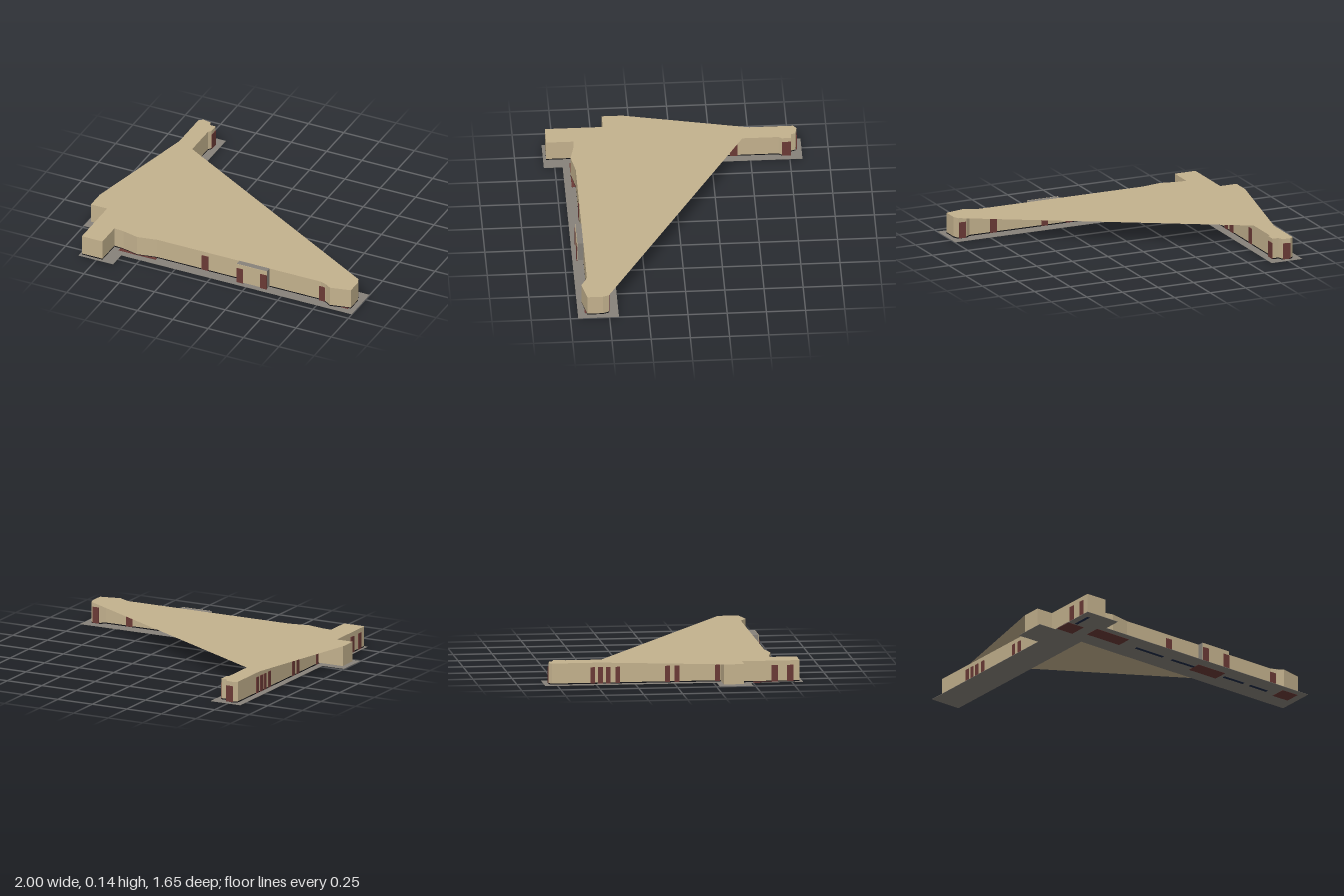
import * as THREE from 'three';

const material = (name, color, side = THREE.FrontSide) => {
  const m = new THREE.MeshStandardMaterial({ color, side });
  m.name = name;
  return m;
};

export function createModel() {
  const group = new THREE.Group();
  const sand = material('sand', 0xc4b28e);
  const sandSheet = sand;
  sandSheet.side = THREE.DoubleSide;
  const paving = material('paving grey', 0x87827a);
  const red = material('door red', 0x6b3a36);
  const navy = material('window navy', 0x1e2a45);
  const black = material('plinth black', 0x121216);

  const add = (name, geometry, mat) => {
    const mesh = new THREE.Mesh(geometry, mat);
    mesh.name = name;
    group.add(mesh);
    return mesh;
  };
  // Plan outlines are [x, z] points
  const plan = (pts) => new THREE.Shape(pts.map(([x, z]) => new THREE.Vector2(x, -z)));
  const slab = (name, pts, y0, y1, mat) => {
    const g = new THREE.ExtrudeGeometry(plan(pts), { depth: y1 - y0, bevelEnabled: false });
    add(name, g.rotateX(-Math.PI / 2).translate(0, y0, 0), mat);
  };
  const box = (name, x0, x1, y0, y1, z0, z1, mat) => add(name,
    new THREE.BoxGeometry(x1 - x0, y1 - y0, z1 - z0)
      .translate((x0 + x1) / 2, (y0 + y1) / 2, (z0 + z1) / 2), mat);

  // Ground paving
  slab('paving', [
    [-0.845, -0.83], [-0.63, -0.83], [-0.63, 0.44], [1, 0.44], [1, 0.7], [-0.63, 0.7],
    [-0.63, 0.82], [-0.875, 0.82], [-0.875, 0.485], [-1, 0.485], [-1, 0.27], [-0.845, 0.27],
  ], 0.001, 0.003, paving);

  // Outline stretches shared by walls and roof
  const northEnd = [
    [-0.8, -0.5], [-0.8, -0.78], [-0.775, -0.8], [-0.72, -0.79], [-0.71, -0.76],
    [-0.67, -0.76], [-0.67, -0.7], [-0.685, -0.68], [-0.685, -0.45],
  ];
  const eastTip = [[0.95, 0.5], [0.965, 0.54], [0.965, 0.64], [0.83, 0.67], [0.79, 0.645], [0.75, 0.63]];
  const southFront = [
    [-0.41, 0.63], [-0.54, 0.655], [-0.65, 0.63], [-0.715, 0.625], [-0.715, 0.8], [-0.86, 0.8], [-0.86, 0.43],
  ];
  const wingWalls = [
    ...northEnd, [-0.69, 0.525], [0.86, 0.525], [0.89, 0.5],
    ...eastTip, ...southFront, [-0.8, 0.43],
  ];
  slab('plinth', wingWalls, 0.002, 0.01, black);
  slab('walls', wingWalls, 0.01, 0.139, sand);
  slab('westBay', [[-0.975, 0.3], [-0.975, 0.43], [-0.8, 0.43], [-0.8, 0.3]], 0.01, 0.139, sand);

  // Thin roof sheet spanning the angle between the wings
  add('roof', new THREE.ShapeGeometry(plan([
    ...northEnd, ...eastTip, ...southFront, [-0.975, 0.43], [-0.975, 0.3],
  ])).rotateX(-Math.PI / 2).translate(0, 0.14, 0), sandSheet);

  // Porch on the front wall
  box('porch', 0.17, 0.385, 0.01, 0.139, 0.62, 0.668, paving);
  box('porchFront', 0.17, 0.385, 0.01, 0.139, 0.668, 0.671, sand);

  // Doors: thin plates on each wall
  const top = 0.11;
  const doorX = (x, z, w = 0.046) =>
    box('door', x - w / 2, x + w / 2, 0.005, top, z - 0.003, z + 0.003, red);
  const doorZ = (x, z, w = 0.046) =>
    box('door', x - 0.003, x + 0.003, 0.005, top, z - w / 2, z + w / 2, red);
  doorX(-0.07, 0.631);
  [0.195, 0.362].forEach((x) => doorX(x, 0.671));
  doorX(0.767, 0.64, 0.05);
  [0.69, 0.33, 0.16, -0.168, -0.296, -0.433].forEach((x) => doorX(x, 0.524));
  doorX(0.92, 0.499);
  [0.37, 0.258, -0.033, -0.114, -0.395].forEach((z) => doorZ(-0.685, z));
  doorZ(-0.669, -0.73, 0.058);
  doorX(-0.75, -0.797, 0.05);
  [-0.52, -0.47, -0.42, -0.36, -0.04, 0.02, 0.28].forEach((z) => doorZ(-0.801, z, 0.03));
  [0.64, 0.74].forEach((z) => doorZ(-0.861, z, 0.04));

  // Entrance mats set through the paving
  [[-0.67, -0.41, 0.55, 0.655], [-0.873, -0.75, 0.5, 0.62], [0.17, 0.385, 0.53, 0.63], [0.83, 0.95, 0.55, 0.655]]
    .forEach(([x0, x1, z0, z1]) => box('entranceMat', x0, x1, 0, 0.006, z0, z1, red));

  // Dark floor strips under the wings
  [[0.41, 0.57], [-0.01, 0.17], [-0.3, -0.08], [0.62, 0.76]]
    .forEach(([x0, x1]) => box('floorStrip', x0, x1, 0, 0.004, 0.57, 0.592, navy));
  box('floorStrip', -0.83, -0.81, 0, 0.004, 0.63, 0.76, navy);

  // Centre the plan
  return group;
}
